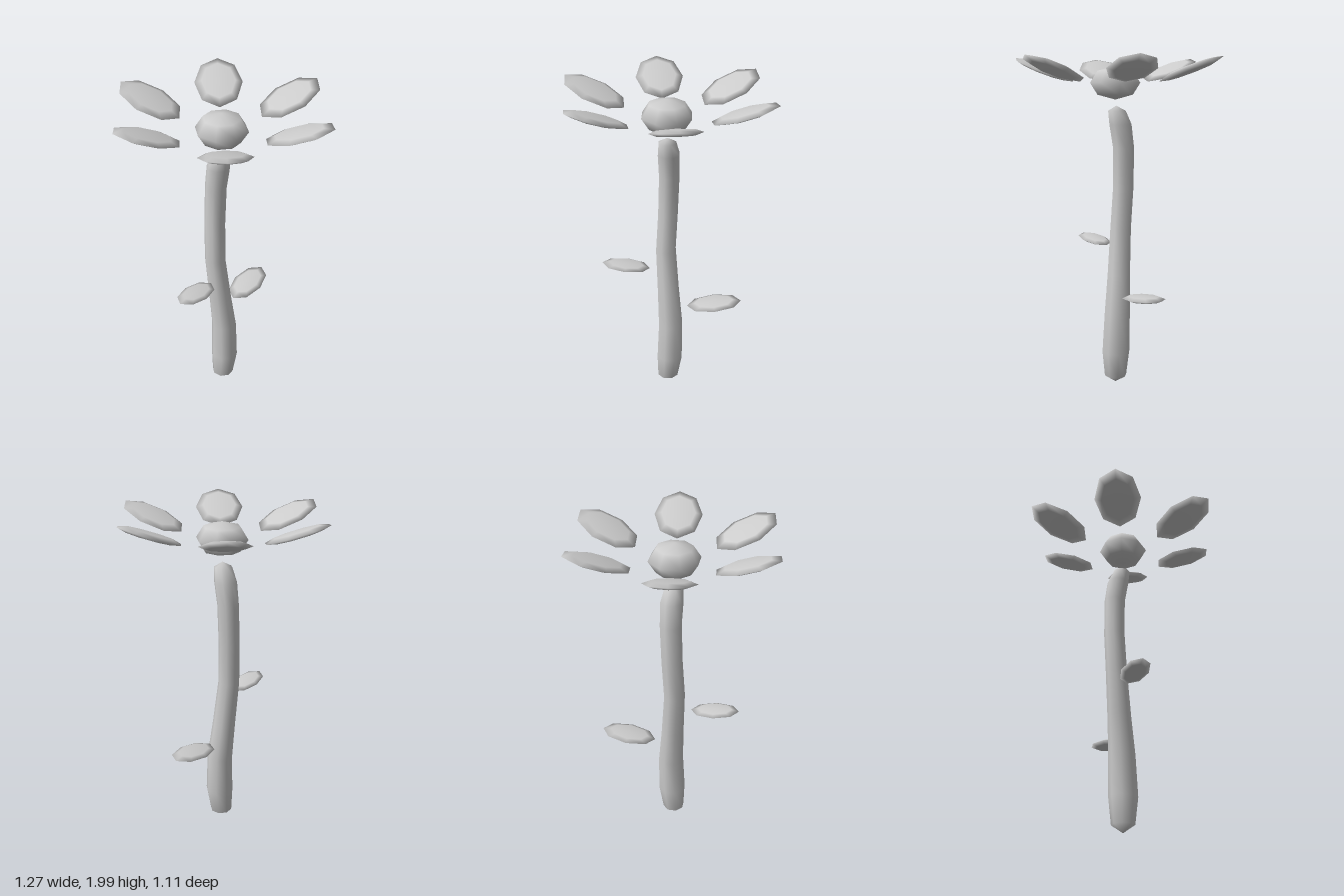
import * as THREE from 'three';
import { mergeVertices } from 'three/addons/utils/BufferGeometryUtils.js';

export function createModel() {
  const flower = new THREE.Group();
  flower.name = 'flower';
  const clay = new THREE.MeshStandardMaterial({ color: 0xcccccc });
  clay.name = 'clay grey';

  // Every blob is a coarse smooth sphere: heading turns it about y, tilt lifts its outer end
  const blobGeometry = new THREE.SphereGeometry(1, 8, 4);
  function addBlob(name, position, size, heading = 0, tilt = 0) {
    const blob = new THREE.Mesh(blobGeometry, clay);
    blob.name = name;
    blob.position.set(...position);
    blob.scale.set(...size);
    blob.rotation.set(0, heading, tilt, 'YZX');
    flower.add(blob);
  }

  // Stem: eight-sided lathe whose rings are shifted along a gentle S-bend
  const rings = [ // y, radius, x shift, z shift
    [0.008, 0, 0, 0],
    [0.055, 0.068, 0.008, 0],
    [0.215, 0.085, 0.02, 0],
    [0.46, 0.079, 0.022, -0.008],
    [0.7, 0.07, 0, -0.022],
    [0.98, 0.064, -0.024, -0.038],
    [1.23, 0.063, -0.016, -0.052],
    [1.47, 0.064, -0.008, -0.052],
    [1.61, 0.067, -0.003, -0.032],
    [1.69, 0.053, -0.002, -0.01],
    [1.72, 0, 0, -0.005],
  ];
  const lathe = new THREE.LatheGeometry(rings.map(([y, r]) => new THREE.Vector2(r, y)), 8);
  const pos = lathe.attributes.position;
  for (let i = 0; i < pos.count; i++) {
    const [, , dx, dz] = rings[i % rings.length];
    pos.setX(i, pos.getX(i) + dx);
    pos.setZ(i, pos.getZ(i) + dz);
  }
  lathe.deleteAttribute('uv');
  lathe.deleteAttribute('normal');
  const stemGeometry = mergeVertices(lathe, 1e-4);
  stemGeometry.computeVertexNormals();
  const stem = new THREE.Mesh(stemGeometry, clay);
  stem.name = 'stem';
  flower.add(stem);

  // Flower centre
  addBlob('flowerCentre', [0, 1.852, 0], [0.15, 0.097, 0.15]);

  // Six petals in a ring, outer ends raised
  for (let i = 0; i < 6; i++) {
    const a = (i * Math.PI) / 3;
    addBlob(`petal${i + 1}`, [0.45 * Math.cos(a), 1.929, -0.45 * Math.sin(a)],
      [0.2, 0.021, 0.141], a, 0.36);
  }

  // Two leaves at different heights
  addBlob('leftLeaf', [0.273, 0.615, -0.112], [0.17, 0.02, 0.098], 0.4, 0.13);
  addBlob('rightLeaf', [-0.236, 0.878, 0.086], [0.147, 0.018, 0.082], Math.PI + 0.36, 0.1);

  return flower;
}
